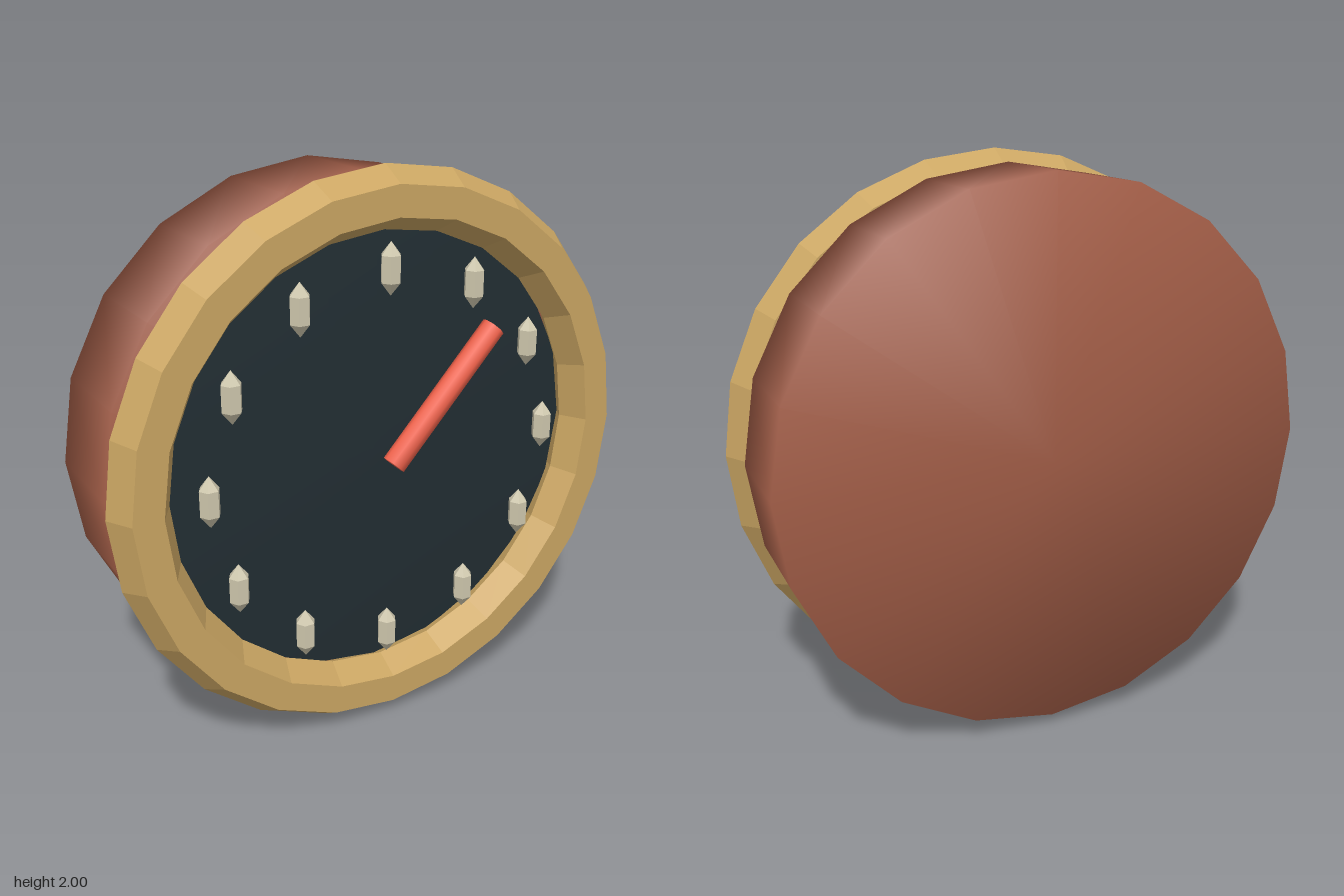
import * as THREE from 'three';
import { mergeVertices } from 'three/addons/utils/BufferGeometryUtils.js';

// Cylinder whose caps and sides share smooth normals
function softCylinder(radius, length, sides) {
  const g = new THREE.CylinderGeometry(radius, radius, length, sides);
  g.deleteAttribute('normal');
  g.deleteAttribute('uv');
  const welded = mergeVertices(g, 1e-4);
  welded.computeVertexNormals();
  return welded;
}

export function createModel() {
  const clock = new THREE.Group();
  clock.name = 'clock';

  function add(name, geometry, color, x, y, z, flatShading = false) {
    const mesh = new THREE.Mesh(geometry, new THREE.MeshStandardMaterial({ color, flatShading }));
    mesh.name = name;
    mesh.position.set(x, y, z);
    clock.add(mesh);
    return mesh;
  }

  // Wooden drum behind the dial
  add('body', softCylinder(0.96, 0.39, 20).rotateX(Math.PI / 2), 0xa05c46, 0, 1, -0.122);

  // Six-sided bezel ring
  add('bezel', new THREE.TorusGeometry(0.895, 0.105, 6, 24), 0xcba663, 0, 1, 0.195, true);

  // Dark dial recessed behind the narrowest part of the ring
  add('dial', softCylinder(0.816, 0.038, 20).rotateX(Math.PI / 2), 0x222e33, 0, 1, 0.131);

  // Single hand, pointing up to the right
  const hand = add('hand', softCylinder(0.042, 0.586, 8), 0xf0614a, 0.195, 1.212, 0.275);
  hand.rotation.z = -0.75;

  // Twelve upright crystal hour markers: a short prism with pointed ends
  const crystal = new THREE.SphereGeometry(1, 6, 3).scale(0.041, 0.09, 0.041);
  for (let i = 0; i < 12; i++) {
    const a = (i / 12) * Math.PI * 2;
    add(`hourMarker${i + 1}`, crystal, 0xcfc8ae, Math.sin(a) * 0.67, 1 + Math.cos(a) * 0.67, 0.235, true);
  }

  return clock;
}
